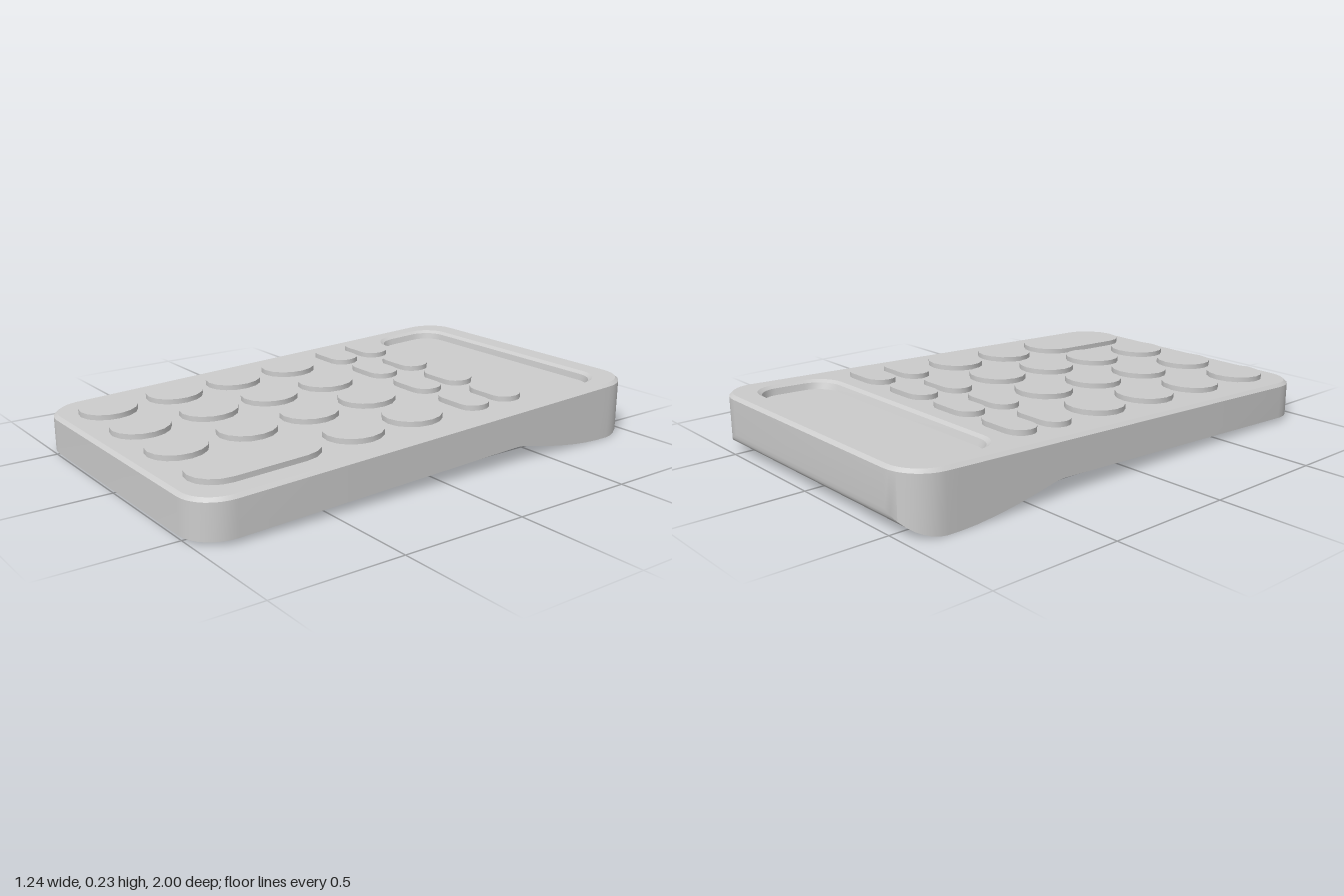
import * as THREE from 'three';
import { toCreasedNormals } from 'three/addons/utils/BufferGeometryUtils.js';

const HALF_W = 0.62, CORNER = 0.14, BEVEL = 0.014, ARC = 8;

// Sloping deck height, and the underside with its raised rear foot
const deckY = z => 0.193 - 0.038 * z;
function underY(z) {
  if (z > -0.38) return 0.01 + (1 - z) * 0.039;
  if (z > -0.8) {
    const t = (-0.38 - z) / 0.42;
    return 0.064 * (1 - t) ** 1.6;
  }
  if (z > -0.85) return 0;
  const t = Math.min(1, (-0.85 - z) / 0.15);
  return 0.085 * (1 - Math.sqrt(1 - t * t));
}

// Right half of the plan outline, front to back, as [x, z]
function halfOutline(inset) {
  const r = CORNER - inset, cx = HALF_W - CORNER, cz = 1 - CORNER, pts = [];
  for (let i = 0; i <= ARC; i++) {
    const a = (i / ARC) * Math.PI / 2;
    pts.push([cx + r * Math.sin(a), cz + r * Math.cos(a)]);
  }
  for (const z of [0.4, 0, -0.36, -0.4, -0.45, -0.5, -0.56, -0.62, -0.68, -0.74, -0.8]) pts.push([HALF_W - inset, z]);
  for (let i = 0; i <= ARC; i++) {
    const a = (i / ARC) * Math.PI / 2;
    pts.push([cx + r * Math.cos(a), -cz - r * Math.sin(a)]);
  }
  return pts;
}
const fullOutline = inset => {
  const half = halfOutline(inset);
  return [...half, ...half.map(([x, z]) => [-x, z]).reverse()];
};

// Rounded rectangle in plan, counter-clockwise from above
function roundRect(hw, hd, r, segs, cz = 0) {
  const pts = [];
  [[1, -1], [-1, -1], [-1, 1], [1, 1]].forEach(([sx, sz], q) => {
    for (let i = 0; i <= segs; i++) {
      const a = (q + i / segs) * Math.PI / 2;
      pts.push([sx * (hw - r) + r * Math.cos(a), cz + sz * (hd - r) - r * Math.sin(a)]);
    }
  });
  return pts;
}

const lift = (pts, yAt) => pts.map(([x, z]) => [x, yAt(z), z]);
const quad = (out, a, b, c, d) => out.push(...a, ...b, ...c, ...a, ...c, ...d);

// Closed band between two loops with equal point counts
function band(out, low, high) {
  low.forEach((p, i) => {
    const j = (i + 1) % low.length;
    quad(out, p, low[j], high[j], high[i]);
  });
}
function surface(out) {
  const g = new THREE.BufferGeometry();
  g.setAttribute('position', new THREE.Float32BufferAttribute(out, 3));
  return toCreasedNormals(g, 0.6);
}

const toShape = pts => new THREE.Shape(pts.map(([x, z]) => new THREE.Vector2(x, -z)));

// Lay a geometry flat and shear it onto the sloping deck
function layOnDeck(g, x, dy, z) {
  g.rotateX(-Math.PI / 2).translate(x, dy, z);
  const p = g.attributes.position;
  for (let i = 0; i < p.count; i++) p.setY(i, p.getY(i) + deckY(p.getZ(i)));
  return toCreasedNormals(g, 0.6);
}

export function createModel() {
  const model = new THREE.Group();
  const material = new THREE.MeshStandardMaterial({ color: 0xcccccc });
  const add = (name, geometry, parent = model) => {
    const mesh = new THREE.Mesh(geometry, material);
    mesh.name = name;
    parent.add(mesh);
  };

  // Case: walls, bevelled rim and contoured underside
  const shell = [], outer = fullOutline(0), inner = fullOutline(BEVEL);
  const shoulder = lift(outer, z => deckY(z) - 0.012);
  band(shell, lift(outer, underY), shoulder);
  band(shell, shoulder, lift(inner, deckY));
  const edge = lift(halfOutline(0), underY), flip = ([x, y, z]) => [-x, y, z];
  for (let i = 0; i < edge.length - 1; i++) {
    quad(shell, edge[i], flip(edge[i]), flip(edge[i + 1]), edge[i + 1]);
  }
  add('caseShell', surface(shell));

  // Deck with the display opening
  const opening = roundRect(0.545, 0.175, 0.11, 8, -0.735);
  const lip = roundRect(0.53, 0.16, 0.098, 8, -0.735);
  const floor = roundRect(0.523, 0.153, 0.092, 8, -0.738);
  const deck = toShape(inner);
  deck.holes.push(toShape(opening));
  add('deck', layOnDeck(new THREE.ShapeGeometry(deck), 0, 0, 0));

  // Sunken display: chamfer, wall and floor
  const recess = [], lipLoop = lift(lip, z => deckY(z) - 0.01);
  band(recess, lift(opening, deckY), lipLoop);
  band(recess, lipLoop, lift(floor, z => deckY(z) - 0.035));
  add('displaySurround', surface(recess));
  add('display', layOnDeck(new THREE.ShapeGeometry(toShape(floor)), 0, -0.035, 0));

  // Keys
  const keys = new THREE.Group();
  keys.name = 'keys';
  model.add(keys);
  const R = 0.113, columns = [-0.416, -0.14, 0.136, 0.411];
  const addKey = (name, x, z, halfDepth, r) => {
    const shape = toShape(roundRect(R, halfDepth, r, 4));
    const g = new THREE.ExtrudeGeometry(shape, { depth: 0.024, bevelEnabled: false });
    add(name, layOnDeck(g, x, -0.004, z), keys);
  };
  columns.forEach((x, c) => {
    for (const z of [-0.43, -0.267]) addKey('functionKey', x, z, 0.062, 0.062);
    [-0.012, 0.258, 0.53, 0.815].forEach((z, row) => {
      if (c < 3 || row < 2) addKey('roundKey', x, z, R, R);
    });
  });
  addKey('tallKey', columns[3], 0.672, 0.254, R);

  return model;
}
